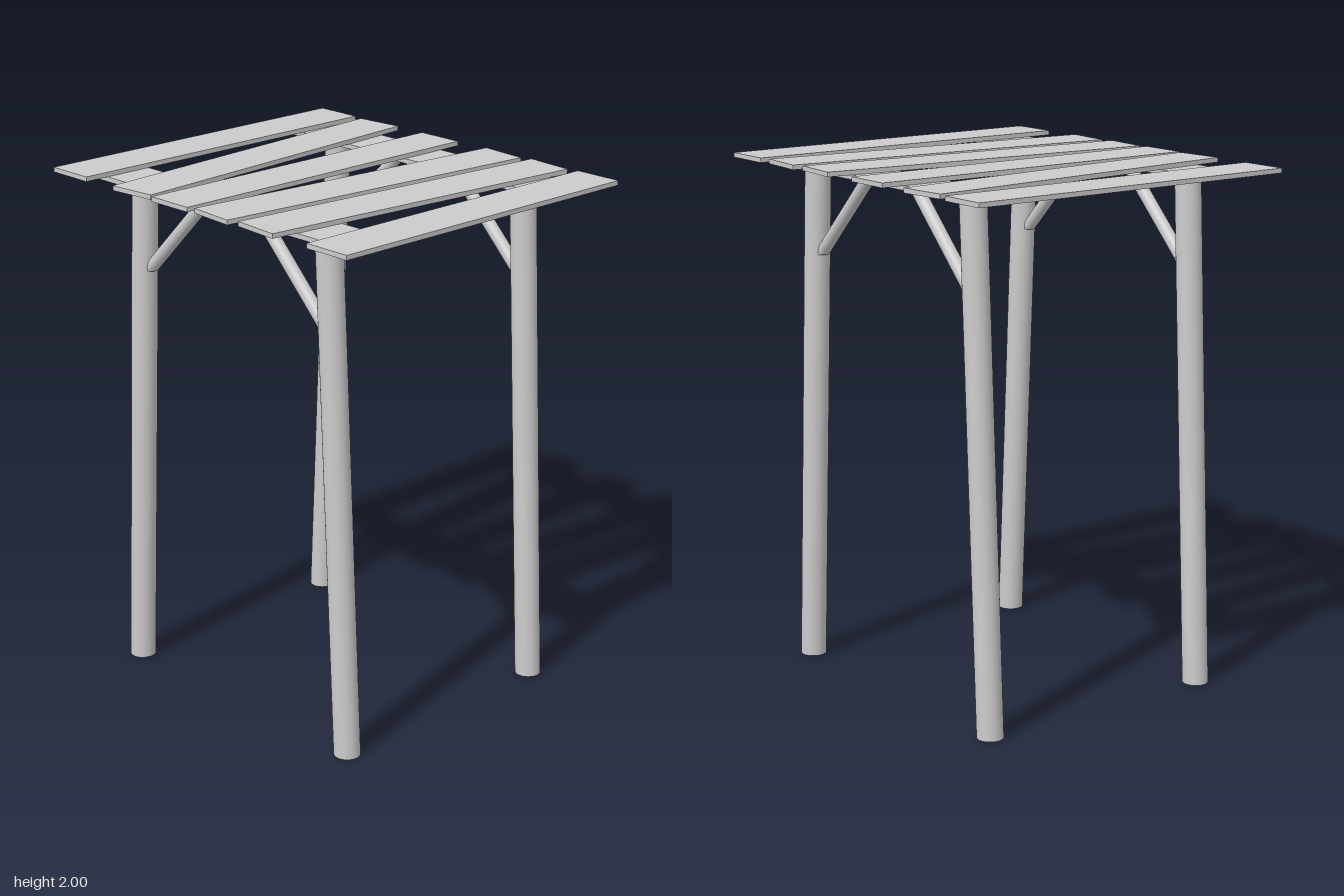
import * as THREE from 'three';

const material = new THREE.MeshStandardMaterial({ color: 0xcccccc });

function addMesh(parent, geometry, name) {
  const mesh = new THREE.Mesh(geometry, material);
  mesh.name = name;
  parent.add(mesh);
  return mesh;
}

// Round pole leaning in x, with level ends: a cylinder sheared along its height
function leaningPole(radius, x0, y0, x1, y1) {
  const height = y1 - y0;
  const slope = (x1 - x0) / height;
  const geometry = new THREE.CylinderGeometry(radius, radius, height, 32);
  // widen the level section so the pole stays round across its axis
  geometry.scale(Math.hypot(1, slope), 1, 1);
  const shear = new THREE.Matrix4().set(
    1, slope, 0, (x0 + x1) / 2,
    0, 1, 0, (y0 + y1) / 2,
    0, 0, 1, 0,
    0, 0, 0, 1
  );
  return geometry.applyMatrix4(shear);
}

export function createModel() {
  const model = new THREE.Group();
  model.name = 'slattedTable';

  // Top planks: [centre x, turn in degrees]
  const planks = [[-0.692, 0], [-0.395, 5], [-0.121, 0], [0.16, -5], [0.393, -5], [0.69, 0]];
  const top = new THREE.Group();
  top.name = 'top';
  model.add(top);
  planks.forEach(([x, turn], i) => {
    const plank = addMesh(top, new THREE.BoxGeometry(0.195, 0.018, 1.38), `plank${i + 1}`);
    plank.position.set(x, 1.991, 0);
    plank.rotation.y = THREE.MathUtils.degToRad(turn);
  });

  // Front and back frames: rail, two splayed legs, two diagonal braces
  for (const [end, z] of [['front', 0.492], ['back', -0.497]]) {
    const frame = new THREE.Group();
    frame.name = `${end}Frame`;
    frame.position.z = z;
    model.add(frame);

    const rail = addMesh(frame, new THREE.BoxGeometry(1.38, 0.018, 0.197), `${end}Rail`);
    rail.position.y = 1.973;

    for (const [side, s] of [['Left', 1], ['Right', -1]]) {
      addMesh(frame, leaningPole(0.05, s * 0.59, 0, s * 0.495, 1.966), `${end}${side}Leg`);
      addMesh(frame, leaningPole(0.025, s * 0.48, 1.63, s * 0.144, 1.966), `${end}${side}Brace`);
    }
  }
  return model;
}
